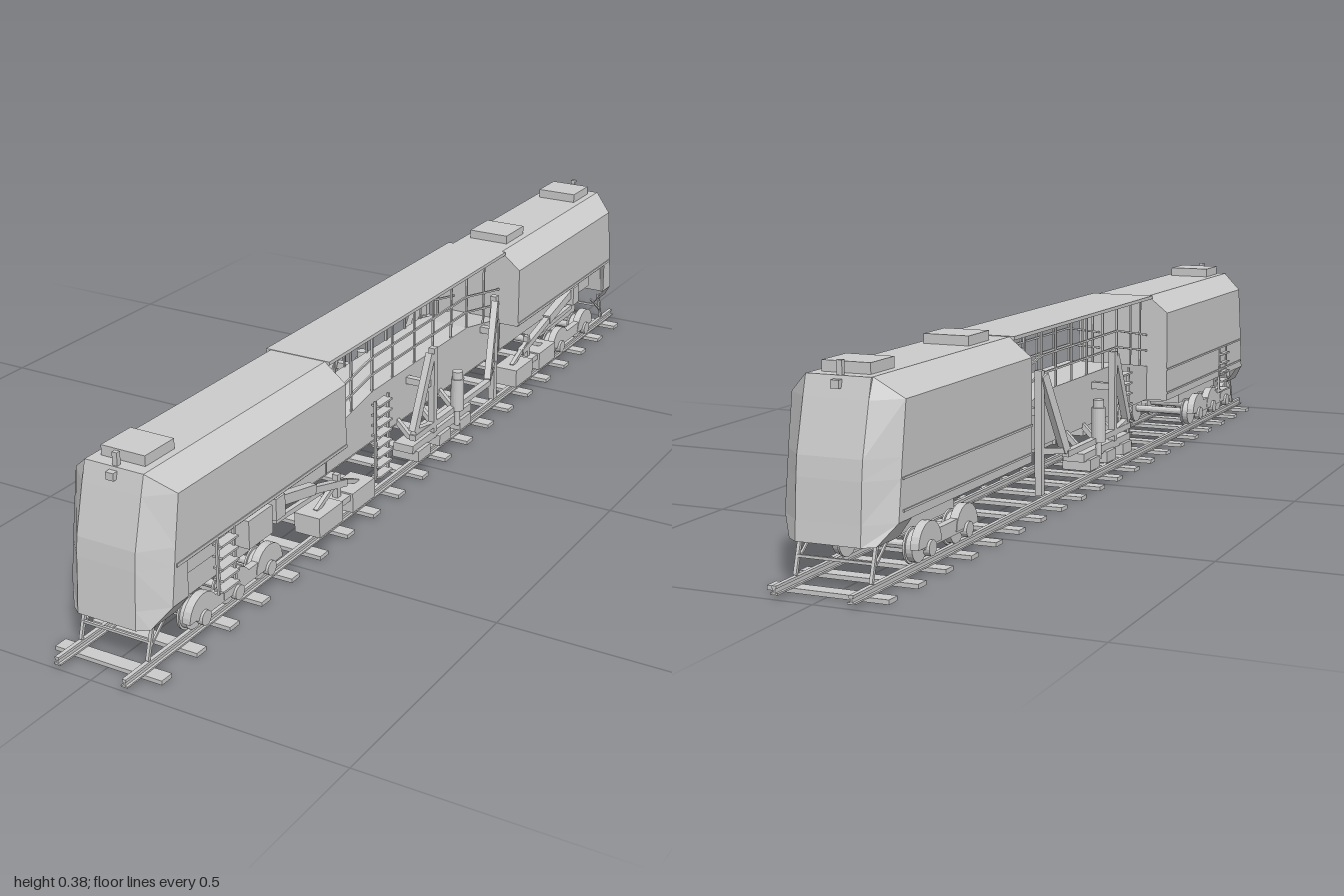
import * as THREE from 'three';

const grey = new THREE.MeshStandardMaterial({ color: 0xcccccc, flatShading: true });
const thin = new THREE.MeshStandardMaterial({ color: 0xcccccc, flatShading: true, side: THREE.DoubleSide });

export function createModel() {
  const model = new THREE.Group();
  model.name = 'railMaintenanceTrain';

  const group = (name, parent = model) => {
    const g = new THREE.Group();
    g.name = name;
    parent.add(g);
    return g;
  };
  const add = (parent, name, geo, x = 0, y = 0, z = 0, mat = grey) => {
    const m = new THREE.Mesh(geo, mat);
    m.name = name;
    m.position.set(x, y, z);
    parent.add(m);
    return m;
  };
  // box given by its min and max on each axis
  const box = (parent, name, x0, x1, y0, y1, z0, z1) =>
    add(parent, name, new THREE.BoxGeometry(x1 - x0, y1 - y0, z1 - z0), (x0 + x1) / 2, (y0 + y1) / 2, (z0 + z1) / 2);
  // square bar between two points
  const bar = (parent, name, a, b, w = 0.005, h = w) => {
    const p = new THREE.Vector3(...a), q = new THREE.Vector3(...b);
    const m = add(parent, name, new THREE.BoxGeometry(w, h, p.distanceTo(q)));
    m.position.copy(p).add(q).multiplyScalar(0.5);
    m.lookAt(q);
    return m;
  };
  const cyl = (parent, name, r, h, x, y, z, sides = 20) =>
    add(parent, name, new THREE.CylinderGeometry(r, r, h, sides), x, y, z);
  // side profile of [z, y] points, given thickness along x
  const plate = (parent, name, pts, x0, x1) => {
    const geo = new THREE.ExtrudeGeometry(new THREE.Shape(pts.map(([z, y]) => new THREE.Vector2(-z, y))),
      { depth: x1 - x0, bevelEnabled: false });
    geo.rotateY(Math.PI / 2);
    return add(parent, name, geo, x0, 0, 0);
  };

  // Track
  const track = group('track');
  for (let i = 0; i < 20; i++) {
    const z = -0.94 + i * 1.88 / 19;
    box(track, 'sleeper', -0.112, 0.112, 0, 0.008, z - 0.014, z + 0.014);
  }
  for (const s of [-1, 1]) {
    const x = s * 0.07;
    box(track, 'railFoot', x - 0.007, x + 0.007, 0.008, 0.011, -1, 1);
    box(track, 'railWeb', x - 0.002, x + 0.002, 0.011, 0.018, -1, 1);
    box(track, 'railHead', x - 0.004, x + 0.004, 0.018, 0.023, -1, 1);
  }

  // Cab shell: [y, half width, corner z, face z] at each level
  const levels = [
    [0.352, 0.06, 0.9, 0.905], [0.316, 0.105, 0.875, 0.915], [0.225, 0.105, 0.89, 0.938],
    [0.19, 0.105, 0.895, 0.942], [0.12, 0.105, 0.905, 0.947], [0.085, 0.08, 0.935, 0.95],
  ];
  const cab = (name, dir, inner) => {
    const g = group(name);
    const pos = [];
    const quad = (a, b, c, d) => {
      const q = dir > 0 ? [a, b, c, a, c, d] : [a, c, b, a, d, c];
      for (const [x, y, z] of q) pos.push(x, y, dir * z);
    };
    const skirtEnd = 0.86;
    for (let i = 0; i < levels.length - 1; i++) {
      const [y0, w0, c0, f0] = levels[i], [y1, w1, c1, f1] = levels[i + 1];
      quad([-0.06, y0, f0], [-0.06, y1, f1], [0.06, y1, f1], [0.06, y0, f0]);
      for (const s of [-1, 1]) {
        // the left lower side stays open behind the nose for the machinery
        const back = i === 4 || (i === 3 && s > 0) ? skirtEnd : inner;
        const face = [[s * 0.06, y0, f0], [s * 0.06, y1, f1], [s * w1, y1, c1], [s * w0, y0, c0]];
        const side = [[s * w0, y0, c0], [s * w1, y1, c1], [s * w1, y1, back], [s * w0, y0, back]];
        if (s < 0) { face.reverse(); side.reverse(); }
        quad(...face);
        quad(...side);
      }
    }
    // roof and inner end wall
    quad([-0.06, 0.352, 0.905], [0.06, 0.352, 0.905], [0.06, 0.352, inner], [-0.06, 0.352, inner]);
    quad([-0.06, 0.352, inner], [0.06, 0.352, inner], [0.105, 0.316, inner], [-0.105, 0.316, inner]);
    quad([-0.105, 0.316, inner], [0.105, 0.316, inner], [0.105, 0.19, inner], [-0.105, 0.19, inner]);
    quad([-0.105, 0.19, inner], [0.06, 0.19, inner], [0.06, 0.12, inner], [-0.105, 0.12, inner]);
    const geo = new THREE.BufferGeometry();
    geo.setAttribute('position', new THREE.Float32BufferAttribute(pos, 3));
    geo.computeVertexNormals();
    add(g, 'cabShell', geo, 0, 0, 0, thin);

    const span = (nm, x0, x1, y0, y1, z0, z1) =>
      box(g, nm, x0, x1, y0, y1, Math.min(dir * z0, dir * z1), Math.max(dir * z0, dir * z1));
    span('cabFloor', -0.104, 0.104, 0.185, 0.192, inner, 0.88);
    span('sideSill', 0.102, 0.107, 0.188, 0.194, inner, 0.89);
    for (const y of [0.135, 0.188]) span('sideTrim', -0.107, -0.104, y, y + 0.004, inner, 0.89);
    span('roofUnit', -0.045, 0.045, 0.352, 0.371, 0.8, 0.88);
    span('horn', -0.005, 0.005, 0.352, 0.376, 0.893, 0.902);
    span('headlamp', -0.008, 0.008, 0.332, 0.346, 0.9, 0.918);
    // rail guards under the nose
    for (const s of [-1, 1]) {
      bar(g, 'guardLeg', [s * 0.07, 0.09, dir * 0.915], [s * 0.07, 0.024, dir * 0.935], 0.006);
      bar(g, 'guardBrace', [s * 0.07, 0.09, dir * 0.87], [s * 0.07, 0.045, dir * 0.928], 0.004);
    }
    bar(g, 'guardCrossbar', [-0.07, 0.055, dir * 0.926], [0.07, 0.055, dir * 0.926], 0.005);
  };
  cab('frontCab', 1, 0.35);
  cab('rearCab', -1, 0.385);
  box(model, 'middleRoofUnit', -0.045, 0.045, 0.352, 0.37, -0.525, -0.44);

  // Chassis spine, rising to a parapet amidships
  plate(model, 'chassis', [[0.88, 0.12], [0.88, 0.188], [0.35, 0.195], [0.17, 0.226], [-0.23, 0.226],
    [-0.385, 0.195], [-0.88, 0.188], [-0.88, 0.12]], -0.058, 0.058);
  box(model, 'galleryRoof', -0.07, 0.07, 0.346, 0.353, -0.385, 0.35);

  // Gallery railings
  const railing = group('galleryRailing');
  for (const s of [-1, 1]) {
    const x = s * 0.056;
    for (const z of [0.31, 0.25, 0.17, 0.09, 0, -0.08, -0.16, -0.23, -0.31])
      bar(railing, 'railingPost', [x, 0.195, z], [x, 0.348, z], 0.004);
    for (const h of [0.035, 0.07]) {
      const pts = [[0.35, 0.195], [0.17, 0.226], [-0.23, 0.226], [-0.385, 0.195]];
      for (let i = 0; i < 3; i++)
        bar(railing, 'handrail', [x, pts[i][1] + h, pts[i][0]], [x, pts[i + 1][1] + h, pts[i + 1][0]], 0.004);
    }
  }

  // Bogies
  const bogie = (name, axles) => {
    const g = group(name);
    const z0 = Math.min(...axles), z1 = Math.max(...axles);
    box(g, 'bogieFrame', -0.055, 0.055, 0.075, 0.12, z0 - 0.03, z1 + 0.03);
    for (const s of [-1, 1]) {
      box(g, 'sideBeam', s * 0.088 - 0.007, s * 0.088 + 0.007, 0.05, 0.076, z0 - 0.02, z1 + 0.02);
      for (const z of axles) {
        const wheel = cyl(g, 'wheel', 0.028, 0.012, s * 0.07, 0.051, z, 24);
        const flange = cyl(g, 'wheelFlange', 0.032, 0.004, s * 0.062, 0.051, z, 24);
        const axleBox = cyl(g, 'axleBox', 0.014, 0.012, s * 0.095, 0.05, z, 16);
        for (const m of [wheel, flange, axleBox]) m.rotation.z = Math.PI / 2;
        const arch = [];
        for (let i = 0; i <= 12; i++) {
          const a = Math.PI * i / 12;
          arch.push([z + 0.042 * Math.cos(a), 0.054 + 0.042 * Math.sin(a)]);
        }
        plate(g, 'wheelCover', arch, s * 0.088 - 0.008, s * 0.088 + 0.008);
      }
    }
    for (const z of axles) cyl(g, 'axle', 0.008, 0.14, 0, 0.051, z, 12).rotation.z = Math.PI / 2;
  };
  bogie('frontBogie', [0.807, 0.706, 0.604]);
  bogie('rearBogie', [-0.64, -0.78]);

  // Ladders
  const ladder = (x, z, y0, y1, w) => {
    const g = group('ladder');
    for (const e of [-1, 1]) bar(g, 'ladderStile', [x, y0, z + e * w], [x, y1, z + e * w], 0.005);
    const n = Math.round((y1 - y0) / 0.022);
    for (let i = 0; i < n; i++)
      box(g, 'ladderRung', x - 0.01, x + 0.01, y0 + 0.004 + i * 0.022, y0 + 0.008 + i * 0.022, z - w, z + w);
  };
  for (const s of [-1, 1]) {
    ladder(s * 0.105, 0.75, 0.08, 0.19, 0.025);
    ladder(s * 0.075, 0.165, 0.045, 0.215, 0.025);
  }

  // Equipment under the cabs on the open side
  box(model, 'equipmentCabinet', 0.06, 0.102, 0.12, 0.175, 0.6, 0.675);
  const workArm = (name, zRoot, zMid, zEnd) => {
    const g = group(name);
    const d = Math.sign(zEnd - zRoot), x = 0.085;
    box(g, 'armBracket', 0.055, 0.1, 0.135, 0.178, zRoot - 0.015, zRoot + 0.015);
    bar(g, 'upperArm', [x, 0.165, zRoot], [x, 0.135, zRoot + d * 0.13], 0.018, 0.02);
    bar(g, 'lowerArm', [x, 0.138, zRoot + d * 0.11], [x, 0.1, zMid + d * 0.03], 0.014, 0.014);
    bar(g, 'armRam', [x, 0.125, zRoot], [x, 0.118, zRoot + d * 0.16], 0.01);
    bar(g, 'headPost', [x, 0.13, zMid], [x, 0.05, zMid], 0.012);
    for (const e of [-1, 1]) {
      box(g, 'workHead', 0.055, 0.11, 0.045, 0.085, zMid + e * 0.06 - 0.042, zMid + e * 0.06 + 0.042);
      bar(g, 'headLink', [x, 0.115, zMid], [x, 0.083, zMid + e * 0.075], 0.009);
    }
    box(g, 'headBeam', 0.06, 0.105, 0.07, 0.082, zMid - 0.1, zMid + 0.1);
  };
  workArm('frontWorkArm', 0.57, 0.355, 0.25);
  workArm('rearWorkArm', -0.71, -0.475, -0.37);

  // Central lifting gear on both sides
  for (const s of [-1, 1]) {
    const g = group(s > 0 ? 'leftLiftingGear' : 'rightLiftingGear');
    const x = s * 0.108;
    bar(g, 'frontPost', [x, 0.09, 0.015], [x, 0.275, 0.015], 0.014);
    bar(g, 'frontBrace', [x, 0.12, 0.095], [x, 0.265, 0.025], 0.014, 0.018);
    bar(g, 'frontTie', [x, 0.12, 0.095], [x, 0.105, 0.015], 0.012);
    bar(g, 'frontMount', [s * 0.055, 0.2, 0.03], [x, 0.2, 0.03], 0.014);
    bar(g, 'rearPost', [s * 0.085, 0.04, -0.305], [s * 0.085, 0.28, -0.305], 0.014);
    bar(g, 'rearBrace', [x, 0.115, -0.235], [s * 0.09, 0.27, -0.3], 0.014, 0.018);
    bar(g, 'rearTie', [x, 0.115, -0.235], [s * 0.085, 0.125, -0.305], 0.012);
    bar(g, 'rearMount', [s * 0.055, 0.2, -0.3], [s * 0.085, 0.2, -0.3], 0.014);
    bar(g, 'longBeam', [x, 0.108, 0.1], [x, 0.108, -0.235], 0.014, 0.012);
    box(g, 'clampFrame', s * 0.09 - 0.022, s * 0.09 + 0.022, 0.075, 0.092, -0.15, 0.105);
    for (const z of [0.07, -0.02, -0.11]) {
      box(g, 'clamp', s * 0.09 - 0.03, s * 0.09 + 0.03, 0.055, 0.078, z - 0.025, z + 0.025);
      bar(g, 'clampMount', [s * 0.055, 0.125, z], [s * 0.09, 0.09, z], 0.01);
    }
    cyl(g, 'liftCylinder', 0.014, 0.07, s * 0.115, 0.14, -0.08);
    cyl(g, 'liftCylinderCap', 0.011, 0.018, s * 0.115, 0.182, -0.08);
    cyl(g, 'liftRod', 0.006, 0.06, s * 0.115, 0.1, -0.08, 12);
  }
  return model;
}
